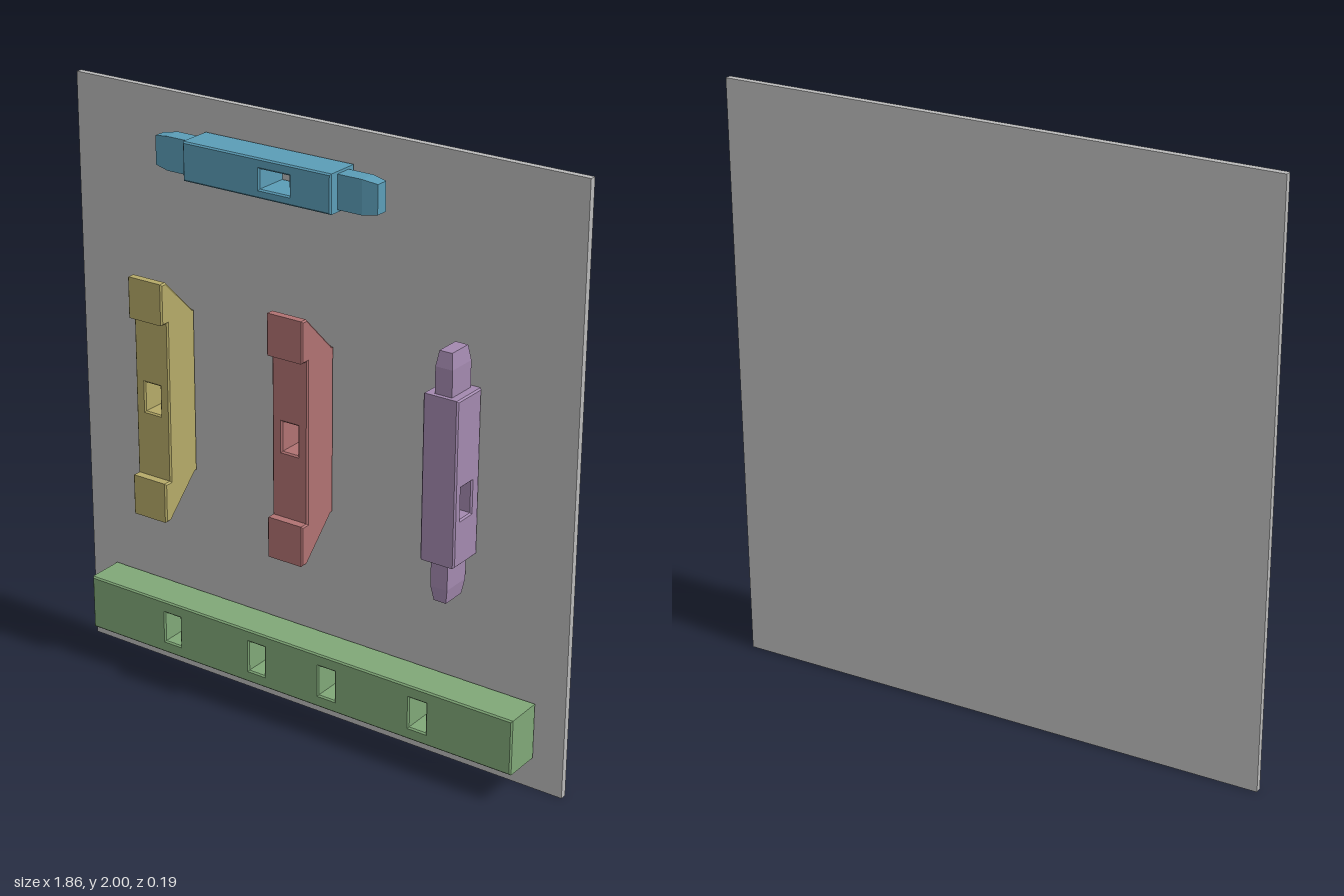
import * as THREE from 'three';

const BEVEL = 0.005;
const mat = (name, color) => {
  const m = new THREE.MeshStandardMaterial({ color });
  m.name = name;
  return m;
};

const rect = (Type, cx, cy, w, h) => new Type([
  [-1, -1], [1, -1], [1, 1], [-1, 1],
].map(([a, b]) => new THREE.Vector2(cx + a * w / 2, cy + b * h / 2)));

// extrude along +z, centred on z = 0, with small chamfers
const extrude = (shape, depth) => new THREE.ExtrudeGeometry(shape, {
  depth: depth - 2 * BEVEL, bevelEnabled: true, bevelSegments: 1,
  bevelThickness: BEVEL, bevelSize: BEVEL, bevelOffset: -BEVEL,
}).translate(0, 0, BEVEL - depth / 2);

// chamfered beam with rectangular mortises [x, y, w, h] cut through z
function beam(w, h, d, mortises) {
  const shape = rect(THREE.Shape, 0, 0, w, h);
  shape.holes = mortises.map((m) => rect(THREE.Path, ...m));
  return extrude(shape, d);
}

// tenon growing along +y from 0, with its last third tapering
function tenon(w, length, d) {
  const geo = new THREE.BoxGeometry(w, length, d, 1, 2, 1);
  const p = geo.attributes.position;
  for (let i = 0; i < p.count; i++) {
    const y = p.getY(i) + length / 2;
    if (y > length * 0.9) {
      p.setX(i, p.getX(i) - Math.sign(p.getX(i)) * 0.008);
      p.setZ(i, p.getZ(i) - Math.sign(p.getZ(i)) * 0.008);
    }
    p.setY(i, y > length * 0.1 && y < length * 0.9 ? length * 0.64 : y);
  }
  const flat = geo.toNonIndexed();
  flat.computeVertexNormals();
  return flat;
}

function add(parent, name, geo, material, x = 0, y = 0, z = 0) {
  const mesh = new THREE.Mesh(geo, material);
  mesh.name = name;
  mesh.position.set(x, y, z);
  parent.add(mesh);
  return mesh;
}

// upright with a pierced shaft and a hooked, back-sloped head at each end
function hookedBlock(name, material, x) {
  const g = new THREE.Group();
  g.name = name;
  g.position.set(x, 1.02, 0);
  add(g, 'shaft', beam(0.135, 0.555, 0.137, [[0, 0, 0.06, 0.1]]), material, 0, 0, -0.0015);
  // side profile as (z, y)
  const profile = new THREE.Shape([
    [-0.07, 0.25], [0.06, 0.25], [0.06, 0.272], [0.095, 0.272],
    [0.095, 0.41], [0.07, 0.41], [-0.07, 0.272],
  ].map(([z, y]) => new THREE.Vector2(z, y)));
  const head = extrude(profile, 0.135).rotateY(-Math.PI / 2);
  add(g, 'upperHead', head, material);
  // turned over rather than mirrored, so the faces keep their order
  const lower = head.clone().rotateX(Math.PI).rotateY(Math.PI);
  add(g, 'lowerHead', lower, material);
  return g;
}

export function createModel() {
  const model = new THREE.Group();
  model.name = 'joineryBoard';
  const grey = mat('grey', 0xbababa);
  const green = mat('green', 0x80a878);
  const blue = mat('blue', 0x5b9db7);
  const yellow = mat('yellow', 0xb5aa68);
  const red = mat('red', 0xb07272);
  const purple = mat('purple', 0xa389af);

  add(model, 'backPanel', new THREE.BoxGeometry(1.86, 2, 0.022), grey, 0, 1, -0.082);

  // long bottom rail with four mortises
  const slots = [-0.483, -0.138, 0.138, 0.483].map((x) => [x, 0, 0.062, 0.105]);
  add(model, 'bottomRail', beam(1.65, 0.19, 0.137, slots), green, 0, 0.206, -0.0025);

  // two hooked uprights
  model.add(hookedBlock('leftHookedBlock', yellow, -0.542));
  model.add(hookedBlock('middleHookedBlock', red, -0.002));

  // horizontal bar with a mortise and a tenon at each end
  const bar = new THREE.Group();
  bar.name = 'tenonedBar';
  bar.position.set(-0.138, 1.831, -0.009);
  add(bar, 'body', beam(0.55, 0.126, 0.123, [[0.069, -0.002, 0.11, 0.063]]), blue);
  for (const s of [-1, 1]) {
    add(bar, 'tenon', tenon(0.11, 0.14, 0.058), blue, s * 0.273, 0, -0.002).rotation.z = -s * Math.PI / 2;
  }
  model.add(bar);

  // vertical post, mortised from the side, with a tenon at each end
  const post = new THREE.Group();
  post.name = 'tenonedPost';
  post.position.set(0.537, 1.018, -0.006);
  const body = beam(0.13, 0.546, 0.122, [[0.004, -0.068, 0.06, 0.105]]).rotateY(-Math.PI / 2);
  add(post, 'body', body, purple);
  for (const s of [-1, 1]) {
    add(post, 'tenon', tenon(0.06, 0.138, 0.102), purple, 0.001, s * 0.271, 0).rotation.z = s > 0 ? 0 : Math.PI;
  }
  model.add(post);
  return model;
}
